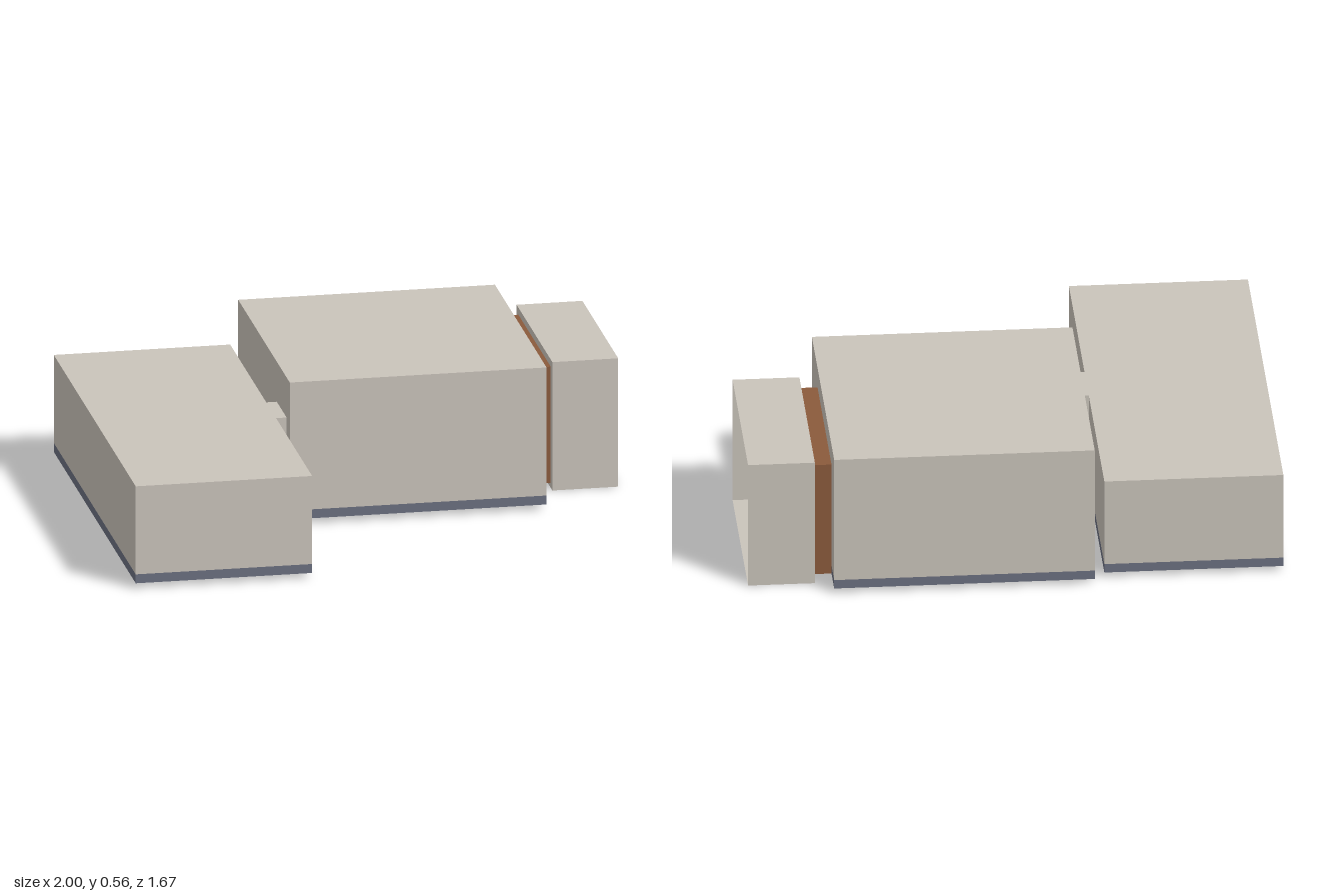
import * as THREE from 'three';

const plaster = new THREE.MeshStandardMaterial({ name: 'warm plaster', color: 0xcac4bb, side: THREE.DoubleSide });
const skirting = new THREE.MeshStandardMaterial({ name: 'slate skirting', color: 0x6b7080, side: THREE.DoubleSide });
const wood = new THREE.MeshStandardMaterial({ name: 'brown wood', color: 0x8b5a3c, side: THREE.DoubleSide });

const BASE = 0.02, BAND = 0.055;
const X = new THREE.Vector3(1, 0, 0), Y = new THREE.Vector3(0, 1, 0), Z = new THREE.Vector3(0, 0, 1);
// In-plane directions and normal for a sheet across each axis
const frames = {
  x: [Z, Y, X.clone().negate()],
  y: [X, Z, Y.clone().negate()],
  z: [X, Y, Z],
};

function rectangle(PathType, [u0, u1, v0, v1]) {
  return new PathType([[u0, v0], [u1, v0], [u1, v1], [u0, v1]].map(p => new THREE.Vector2(...p)));
}

// Thin flat sheet across an axis, with an optional rectangular hole
function sheet(parent, name, material, axis, at, rect, hole) {
  const shape = rectangle(THREE.Shape, rect);
  if (hole) shape.holes.push(rectangle(THREE.Path, hole));
  const [u, v, n] = frames[axis];
  const geometry = new THREE.ShapeGeometry(shape);
  geometry.applyMatrix4(new THREE.Matrix4().makeBasis(u, v, n));
  const mesh = new THREE.Mesh(geometry, material);
  mesh.name = name;
  mesh.position[axis] = at;
  parent.add(mesh);
}

// Wall with a skirting band along its foot
function wall(parent, axis, at, u0, u1, top) {
  sheet(parent, 'wallSkirting', skirting, axis, at, [u0, u1, BASE, BAND]);
  sheet(parent, 'wall', plaster, axis, at, [u0, u1, BAND, top]);
}

function slabs(parent, x0, x1, z0, z1, y0, y1) {
  sheet(parent, 'floor', plaster, 'y', y0, [x0, x1, z0, z1]);
  sheet(parent, 'ceiling', plaster, 'y', y1, [x0, x1, z0, z1]);
}

function part(root, name) {
  const group = new THREE.Group();
  group.name = name;
  root.add(group);
  return group;
}

export function createModel() {
  const root = new THREE.Group();
  root.name = 'roomLayout';

  // Doorway shared by the main room and the entrance bay
  const d = { z0: -0.715, z1: -0.073, y0: BASE, y1: 0.475 };

  // Long side room, open to the passage
  const side = part(root, 'sideRoom');
  slabs(side, -1, -0.33, -0.79, 0.835, BASE, 0.4);
  wall(side, 'x', -1, -0.79, 0.835, 0.4);
  wall(side, 'x', -0.33, -0.79, -0.075, 0.4);
  wall(side, 'x', -0.33, 0.12, 0.835, 0.4);
  for (const z of [-0.79, 0.835]) wall(side, 'z', z, -1, -0.33, 0.4);

  // Short passage with its door leaf standing open
  const passage = part(root, 'passage');
  slabs(passage, -0.33, -0.29, -0.075, 0.12, BASE, 0.4);
  for (const z of [-0.075, 0.12]) wall(passage, 'z', z, -0.33, -0.29, 0.4);
  sheet(passage, 'doorLeaf', wood, 'z', 0.119, [-0.52, -0.33, 0.022, 0.398]);

  // Tall main room
  const main = part(root, 'mainRoom');
  slabs(main, -0.29, 0.685, -0.84, 0.183, BASE, 0.557);
  wall(main, 'x', -0.29, -0.84, 0.183, 0.557);
  for (const z of [-0.84, 0.183]) wall(main, 'z', z, -0.29, 0.685, 0.557);
  wall(main, 'x', 0.685, -0.84, d.z0, 0.557);
  wall(main, 'x', 0.685, d.z1, 0.183, 0.557);
  sheet(main, 'lintel', plaster, 'x', 0.685, [d.z0, d.z1, d.y1, 0.557]);

  // Wooden lining between the main room and the bay
  const lining = part(root, 'doorwayLining');
  for (const z of [d.z0, d.z1]) sheet(lining, 'jamb', wood, 'z', z, [0.685, 0.75, d.y0, d.y1]);
  for (const y of [d.y0, d.y1]) sheet(lining, 'headOrSill', wood, 'y', y, [0.685, 0.75, d.z0, d.z1]);

  // Entrance bay, open at its outer end
  const bay = part(root, 'entranceBay');
  slabs(bay, 0.75, 1, -0.75, -0.04, 0, 0.503);
  for (const z of [-0.75, -0.04]) sheet(bay, 'bayWall', plaster, 'z', z, [0.75, 1, 0, 0.503]);
  sheet(bay, 'bayInnerFrame', plaster, 'x', 0.75, [-0.75, -0.04, 0, 0.503], [d.z0, d.z1, d.y0, d.y1]);

  return root;
}
